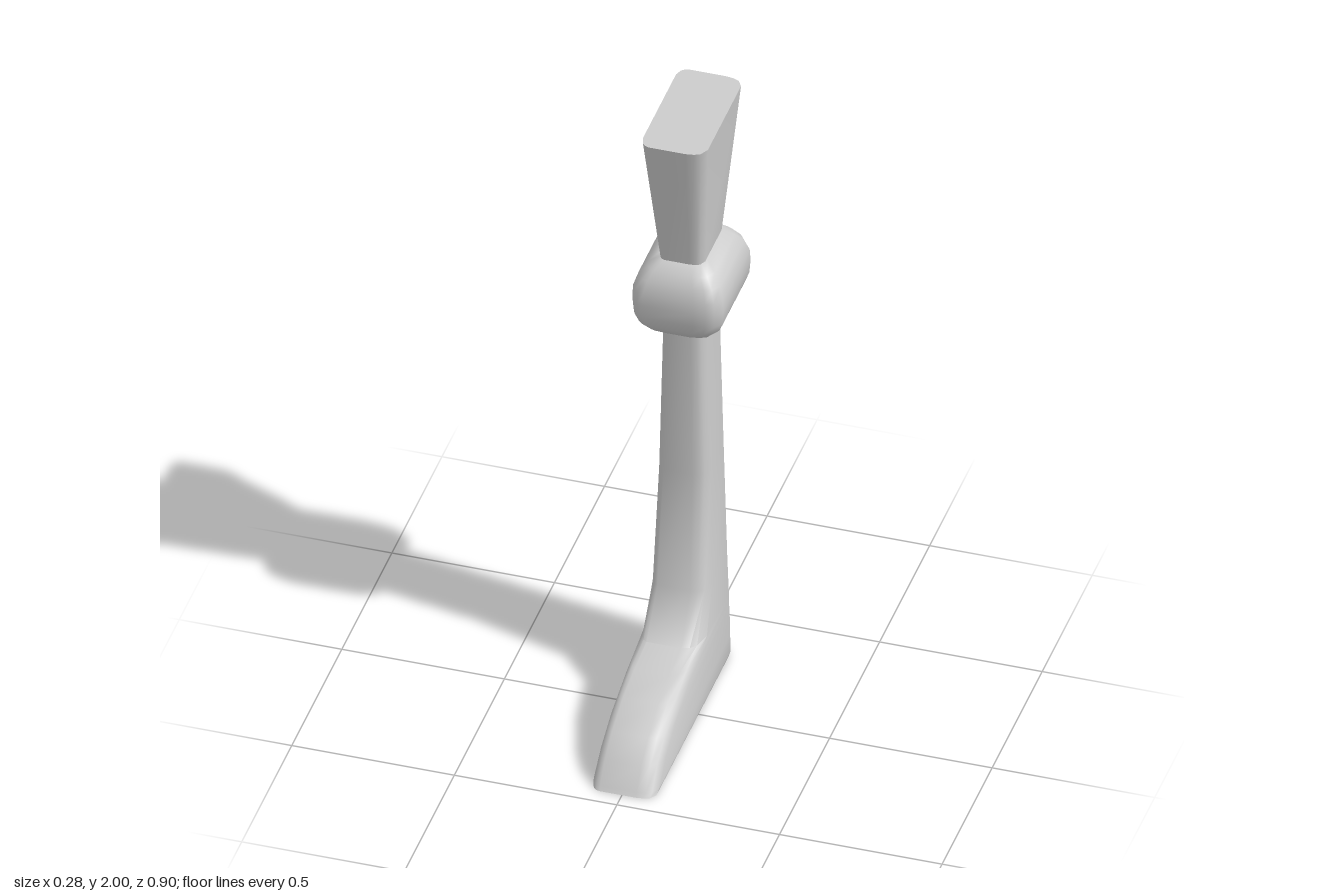
import * as THREE from 'three';
import { toCreasedNormals } from 'three/addons/utils/BufferGeometryUtils.js';

const material = new THREE.MeshStandardMaterial({ color: 0xcccccc });

// Corner steps: [share of half width, share of corner depth]; the right side is tighter.
const wide = [[0.42, 0], [0.68, 0.1], [0.86, 0.32], [1, 1]];
const tight = [[0.7, 0], [0.82, 0.1], [0.92, 0.35], [1, 1]];

// One horizontal rounded section, counterclockwise from above.
function ring([y, halfWidth, front, back, frontDepth = 0.04, backDepth = 0.035]) {
  const corner = (steps, side, edge, depth) =>
    steps.map(([w, d]) => [side * w * halfWidth, y, edge + d * depth]);
  return [
    ...corner(tight, -1, front, -frontDepth).reverse(),
    ...corner(wide, 1, front, -frontDepth),
    ...corner(wide, 1, back, backDepth).reverse(),
    ...corner(tight, -1, back, backDepth),
  ];
}

// Skin a stack of sections and close both ends.
function loft(name, sections, crease) {
  const rings = sections.map(ring);
  const n = rings[0].length;
  const index = [];
  for (let r = 0; r < rings.length - 1; r++) {
    for (let i = 0; i < n; i++) {
      const a = r * n + i, b = r * n + (i + 1) % n;
      index.push(a, b, b + n, a, b + n, a + n);
    }
  }
  const top = (rings.length - 1) * n;
  for (let i = 1; i < n - 1; i++) {
    index.push(0, i + 1, i, top, top + i, top + i + 1);
  }
  const geometry = new THREE.BufferGeometry();
  geometry.setAttribute('position', new THREE.Float32BufferAttribute(rings.flat(2), 3));
  geometry.setIndex(index);
  const mesh = new THREE.Mesh(toCreasedNormals(geometry, crease), material);
  mesh.name = name;
  return mesh;
}

export function createModel() {
  const group = new THREE.Group();
  group.name = 'leg';

  // Sections: height, half width, front z, back z, front and back corner depth.
  group.add(loft('shinAndFoot', [
    [0, 0.097, 0.45, -0.335, 0.03],
    [0.012, 0.1, 0.44, -0.345, 0.035],
    [0.075, 0.099, 0.395, -0.345, 0.06],
    [0.13, 0.098, 0.325, -0.345, 0.09],
    [0.18, 0.096, 0.22, -0.345, 0.13],
    [0.205, 0.095, 0.11, -0.345, 0.13],
    [0.222, 0.095, -0.01, -0.345, 0.08],
    [0.36, 0.09, -0.11, -0.345, 0.05],
    [0.76, 0.079, -0.145, -0.345],
    [1.28, 0.066, -0.147, -0.345],
  ], 0.9));

  group.add(loft('knee', [
    [1.26, 0.068, -0.142, -0.345],
    [1.29, 0.1, -0.105, -0.38],
    [1.32, 0.124, -0.082, -0.402],
    [1.355, 0.137, -0.071, -0.413],
    [1.4, 0.14, -0.068, -0.416],
    [1.44, 0.138, -0.071, -0.413],
    [1.48, 0.125, -0.084, -0.4],
    [1.51, 0.102, -0.105, -0.38],
    [1.535, 0.07, -0.133, -0.355],
  ], 0.8));

  group.add(loft('thigh', [
    [1.52, 0.068, -0.134, -0.354, 0.03],
    [2, 0.1, -0.045, -0.45],
  ], 0.9));

  return group;
}
